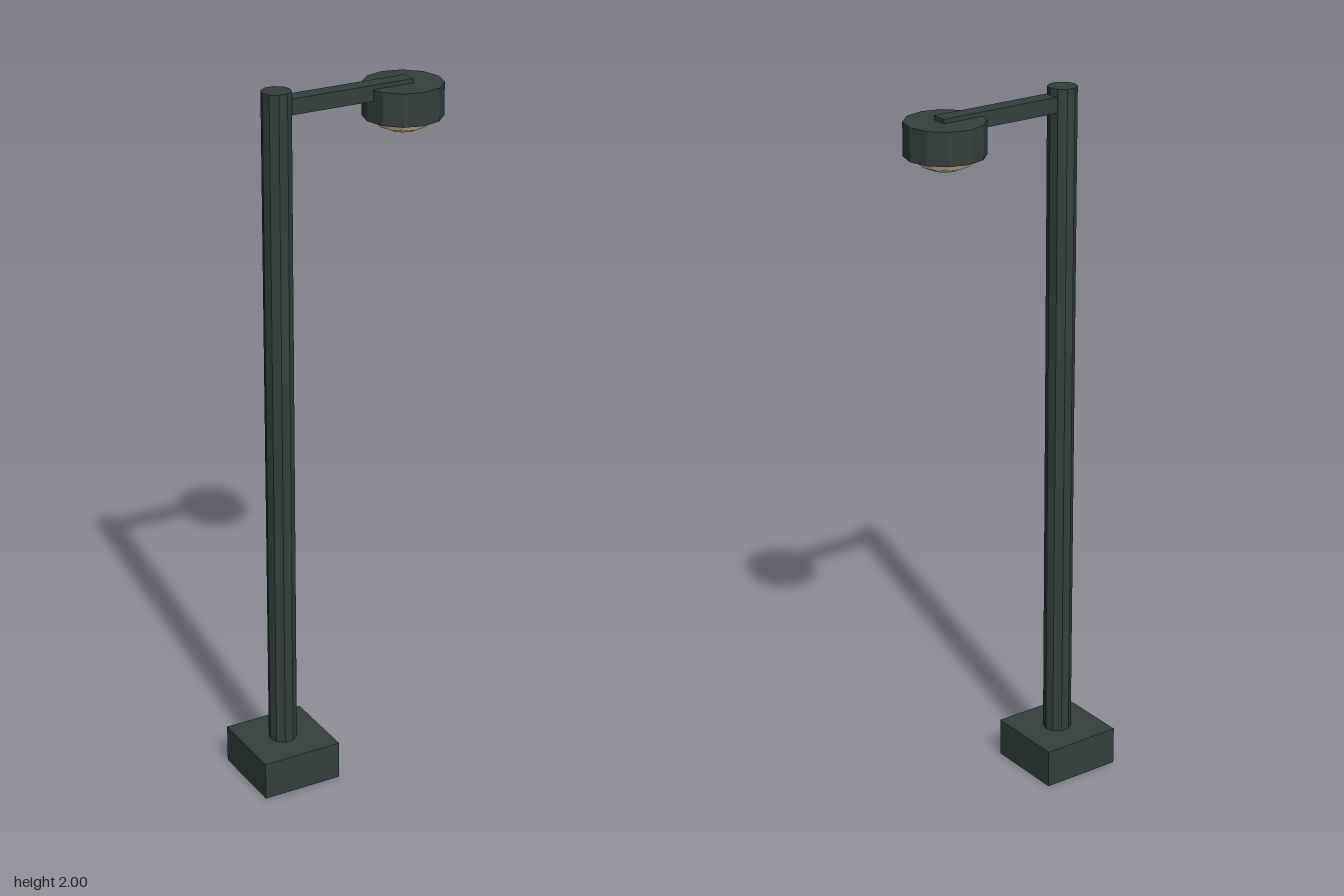
import * as THREE from 'three';

export function createModel() {
  const group = new THREE.Group();
  const metal = new THREE.MeshStandardMaterial({ color: 0x383d3e, flatShading: true });
  const glass = new THREE.MeshStandardMaterial({ color: 0xe0d0b0, flatShading: true });

  const add = (name, geometry, material, x, y) => {
    const mesh = new THREE.Mesh(geometry, material);
    mesh.name = name;
    mesh.position.set(x, y, 0);
    group.add(mesh);
    return mesh;
  };

  const poleX = -0.183, lampX = 0.19;

  // Square foot and tall pole
  add('base', new THREE.BoxGeometry(0.234, 0.11, 0.234), metal, poleX, 0.055);
  const pole = add('pole', new THREE.CylinderGeometry(0.04, 0.04, 1.89, 10), metal, poleX, 1.055);
  pole.rotation.y = Math.PI / 2;

  // Arm from the pole centre to just past the lamp centre
  const armEnd = 0.208;
  add('arm', new THREE.BoxGeometry(armEnd - poleX, 0.043, 0.045), metal, (poleX + armEnd) / 2, 1.958);

  // Drum-shaped lamp head with a flattened lens below
  add('lampHead', new THREE.CylinderGeometry(0.108, 0.108, 0.09, 12), metal, lampX, 1.923);
  const lens = add('lens', new THREE.SphereGeometry(0.079, 12, 6), glass, lampX, 1.874);
  lens.scale.y = 0.45;

  return group;
}
